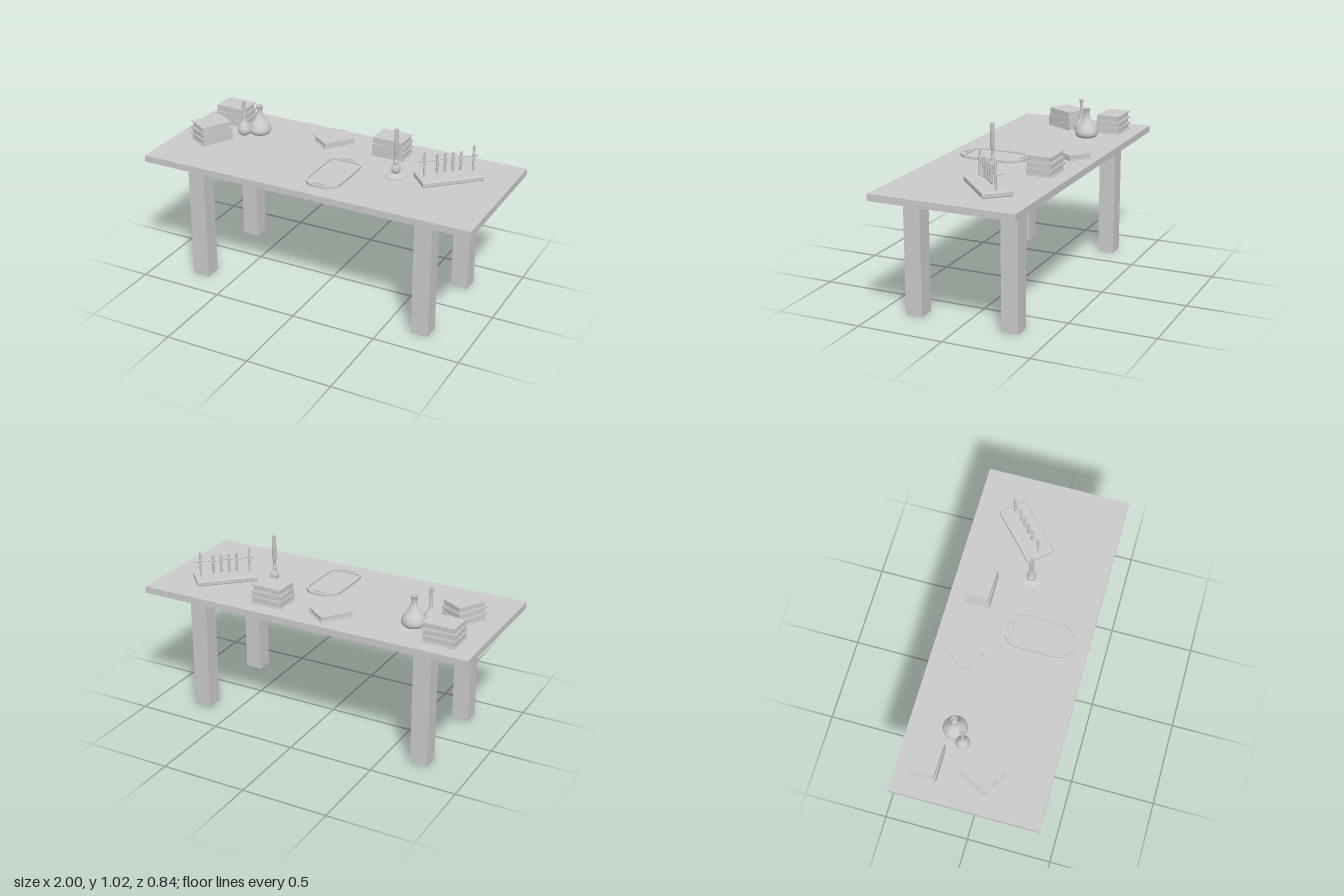
import * as THREE from 'three';
import { toCreasedNormals } from 'three/addons/utils/BufferGeometryUtils.js';
import { RoundedBoxGeometry } from 'three/addons/geometries/RoundedBoxGeometry.js';

const TOP = 0.745; // height of the table surface
const grey = new THREE.MeshStandardMaterial({ color: 0xcccccc, side: THREE.DoubleSide });

function add(parent, name, geometry, x = 0, y = 0, z = 0) {
  const mesh = new THREE.Mesh(geometry, grey);
  mesh.name = name;
  mesh.position.set(x, y, z);
  parent.add(mesh);
  return mesh;
}

function group(parent, name, x, y, z, turn = 0) {
  const g = new THREE.Group();
  g.name = name;
  g.position.set(x, y, z);
  g.rotation.y = turn;
  parent.add(g);
  return g;
}

const box = (w, h, d) => new THREE.BoxGeometry(w, h, d);
const lathe = (points, sides = 32) => toCreasedNormals(
  new THREE.LatheGeometry(points.map(([r, y]) => new THREE.Vector2(r, y)), sides), 0.7);

// Book with two covers, a spine at +z and inset pages
function addBook(parent, y, w, d, h, turn) {
  const book = group(parent, 'book', 0, y, 0, turn);
  const t = 0.005;
  for (const cy of [t / 2, h - t / 2]) add(book, 'cover', box(w, t, d), 0, cy, 0);
  add(book, 'spine', box(w, h - 2 * t, t), 0, h / 2, d / 2 - t / 2);
  add(book, 'pages', box(w - 0.014, h - 2 * t, d - 0.014), 0, h / 2, 0.002);
}

function addStack(parent, x, z, turn, count) {
  const stack = group(parent, count > 1 ? 'bookStack' : 'singleBook', x, TOP, z, turn);
  const sizes = [[0.196, 0.15, 0], [0.194, 0.148, 0.02], [0.185, 0.14, -0.025]];
  for (let i = 0; i < count; i++) {
    const [w, d, a] = sizes[i];
    addBook(stack, i * 0.0373, w, d, count > 1 ? 0.037 : 0.033, a);
  }
}

// Octagon with softened corners
function octagon(Type, hw, hd, cutX, cutZ) {
  const corners = [[hw - cutX, hd], [hw, hd - cutZ], [hw, cutZ - hd], [hw - cutX, -hd],
    [cutX - hw, -hd], [-hw, cutZ - hd], [-hw, hd - cutZ], [cutX - hw, hd]]
    .map(([x, y]) => new THREE.Vector2(x, y));
  const path = new Type();
  corners.forEach((c, i) => {
    const next = corners[(i + 1) % 8], prev = corners[(i + 7) % 8];
    const a = c.clone().lerp(prev, 0.25), b = c.clone().lerp(next, 0.25);
    if (i === 0) path.moveTo(a.x, a.y); else path.lineTo(a.x, a.y);
    path.quadraticCurveTo(c.x, c.y, b.x, b.y);
  });
  path.closePath();
  return path;
}

function flat(shape, depth) {
  const g = new THREE.ExtrudeGeometry(shape, { depth, bevelEnabled: false, curveSegments: 4 });
  return g.rotateX(-Math.PI / 2);
}

function slot(hw, hd, z) {
  const p = new THREE.Path();
  p.moveTo(-hw, z - hd);
  p.lineTo(hw, z - hd);
  p.absarc(hw, z, hd, -Math.PI / 2, Math.PI / 2, false);
  p.lineTo(-hw, z + hd);
  p.absarc(-hw, z, hd, Math.PI / 2, Math.PI * 1.5, false);
  return p;
}

// Shallow tray with a raised rim and a handle slot at each end
function addTray(parent) {
  const tray = group(parent, 'tray', 0.07, TOP, 0.137);
  const plate = octagon(THREE.Shape, 0.107, 0.197, 0.055, 0.055);
  const rim = octagon(THREE.Shape, 0.107, 0.197, 0.055, 0.055);
  for (const s of [-1, 1]) {
    plate.holes.push(slot(0.036, 0.007, s * 0.177));
    rim.holes.push(slot(0.036, 0.007, s * 0.177));
  }
  rim.holes.push(octagon(THREE.Path, 0.091, 0.158, 0.022, 0.022));
  add(tray, 'trayFloor', flat(plate, 0.005));
  add(tray, 'trayRim', flat(rim, 0.011), 0, 0.004, 0);
}

// Gas burner: foot, valve body, collar and tall barrel
function addBurner(parent) {
  const burner = group(parent, 'burner', 0.385, TOP, 0);
  add(burner, 'burnerFoot', lathe([[0, 0], [0.06, 0], [0.06, 0.006], [0.03, 0.011],
    [0.014, 0.017], [0.012, 0.022], [0, 0.022]]));
  add(burner, 'burnerValve', lathe([[0, 0.02], [0.018, 0.02], [0.025, 0.03], [0.025, 0.056],
    [0.018, 0.067], [0, 0.067]]));
  add(burner, 'burnerCollar', lathe([[0, 0.065], [0.013, 0.065], [0.013, 0.09], [0.008, 0.095],
    [0.008, 0.13], [0.012, 0.135], [0.012, 0.28], [0.008, 0.28], [0.008, 0.24], [0, 0.24]], 24));
}

// Rack: base, two posts, crossbar and four held tubes
function addRack(parent) {
  const rack = group(parent, 'tubeRack', 0.657, TOP, -0.103, 0.743);
  add(rack, 'rackBase', new RoundedBoxGeometry(0.356, 0.031, 0.166, 3, 0.007), 0, 0.0155, 0);
  const rod = (r, h) => new THREE.CylinderGeometry(r, r, h, 16);
  const barY = 0.121;
  add(rack, 'crossbar', rod(0.0035, 0.33).rotateZ(Math.PI / 2), 0, barY, 0);
  for (const s of [-1, 1]) {
    add(rack, 'post', rod(0.0065, 0.152), s * 0.142, 0.104, 0);
    add(rack, 'postClamp', rod(0.009, 0.012), s * 0.142, barY, 0);
    add(rack, 'barKnob', rod(0.006, 0.01).rotateZ(Math.PI / 2), s * 0.163, barY, 0);
  }
  const tube = lathe([[0, 0.044], [0.004, 0.045], [0.007, 0.048], [0.008, 0.053], [0.008, 0.149],
    [0.0095, 0.15], [0.0095, 0.153], [0.0065, 0.153], [0.0065, 0.055], [0, 0.05]], 20);
  for (let i = 0; i < 4; i++) {
    const x = (i - 1.5) * 0.0455;
    add(rack, 'testTube', tube, x, 0, 0);
    add(rack, 'tubeRing', new THREE.TorusGeometry(0.009, 0.0025, 8, 20).rotateX(Math.PI / 2), x, barY, 0);
  }
}

// Flask turned from a smooth profile, with a thin open neck
function addFlask(parent, name, x, z, profile, rim, height) {
  const curve = new THREE.SplineCurve(profile.map(([r, y]) => new THREE.Vector2(r, y)));
  const points = curve.getPoints(40).map(p => [Math.max(p.x, 0), Math.max(p.y, 0)]);
  points.push([rim - 0.003, height], [rim - 0.006, height - 0.012], [rim - 0.008, height - 0.06],
    [0, height - 0.065]);
  add(parent, name, lathe(points), x, TOP, z);
}

export function createModel() {
  const model = new THREE.Group();
  model.name = 'laboratoryTable';

  // Table
  add(model, 'tableTop', box(2, 0.039, 0.838), 0, TOP - 0.0195, 0);
  for (const x of [-0.704, 0.706]) {
    for (const z of [-0.273, 0.299]) add(model, 'leg', box(0.101, 0.708, 0.099), x, 0.354, z);
  }

  // Books
  addStack(model, -0.793, -0.255, 0, 3);
  addStack(model, 0.247, -0.255, 0, 3);
  addStack(model, -0.786, 0.042, 1.08, 3);
  addStack(model, -0.128, -0.253, 0.94, 1);

  // Flasks
  addFlask(model, 'largeFlask', -0.578, -0.163, [[0, 0], [0.045, 0], [0.062, 0.01], [0.068, 0.03],
    [0.058, 0.058], [0.036, 0.09], [0.02, 0.12], [0.016, 0.15], [0.022, 0.174]], 0.022, 0.176);
  addFlask(model, 'smallFlask', -0.647, -0.1, [[0, 0], [0.02, 0], [0.034, 0.012], [0.04, 0.035],
    [0.031, 0.06], [0.016, 0.085], [0.01, 0.11], [0.0095, 0.18], [0.014, 0.208]], 0.014, 0.21);

  addTray(model);
  addBurner(model);
  addRack(model);
  return model;
}
